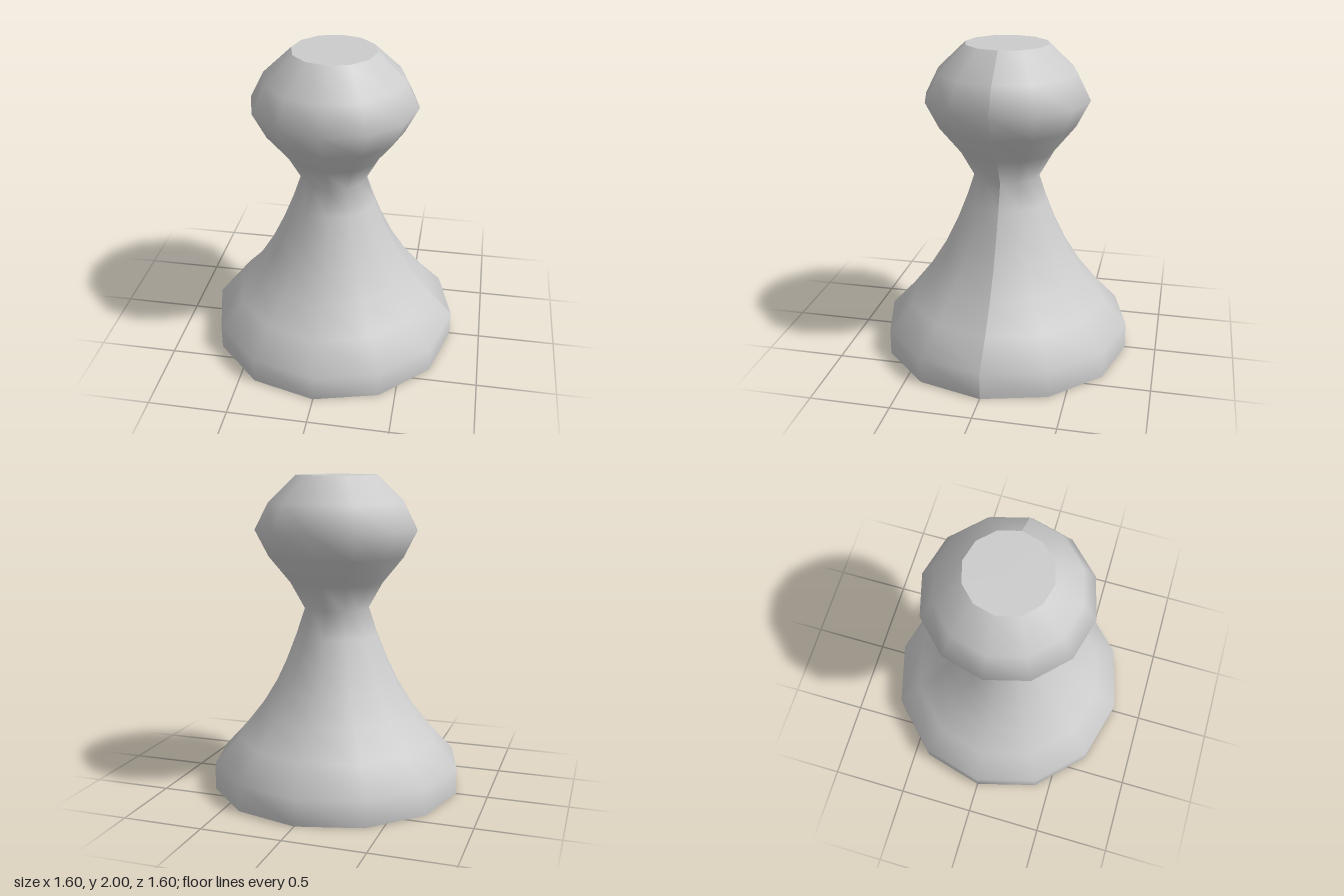
import * as THREE from 'three';

const SIDES = 12;
// Radius at each evenly spaced ring, from the foot to the top of the head
const RADII = [0.8, 0.8, 0.645, 0.513, 0.41, 0.33, 0.264, 0.208, 0.3, 0.435, 0.52, 0.435, 0.26];
const HEIGHT = 2;

export function createModel() {
  const model = new THREE.Group();
  model.name = 'pawn';
  const material = new THREE.MeshStandardMaterial({ color: 0xcccccc });

  const add = (name, geometry) => {
    const mesh = new THREE.Mesh(geometry, material);
    mesh.name = name;
    model.add(mesh);
    return mesh;
  };

  // Body: foot, flared skirt, waist and head in one turned profile, its seam on +x
  const profile = RADII.map((r, i) => new THREE.Vector2(r, (HEIGHT * i) / (RADII.length - 1)));
  const bodyGeometry = new THREE.LatheGeometry(profile, SIDES, Math.PI / 2);
  bodyGeometry.computeVertexNormals();
  add('body', bodyGeometry);

  // Flat caps close both ends with sharp rims
  const topCap = add('topCap', new THREE.CircleGeometry(RADII[RADII.length - 1], SIDES));
  topCap.rotation.x = -Math.PI / 2;
  topCap.position.y = HEIGHT;

  const baseCap = add('baseCap', new THREE.CircleGeometry(RADII[0], SIDES));
  baseCap.rotation.x = Math.PI / 2;

  return model;
}
